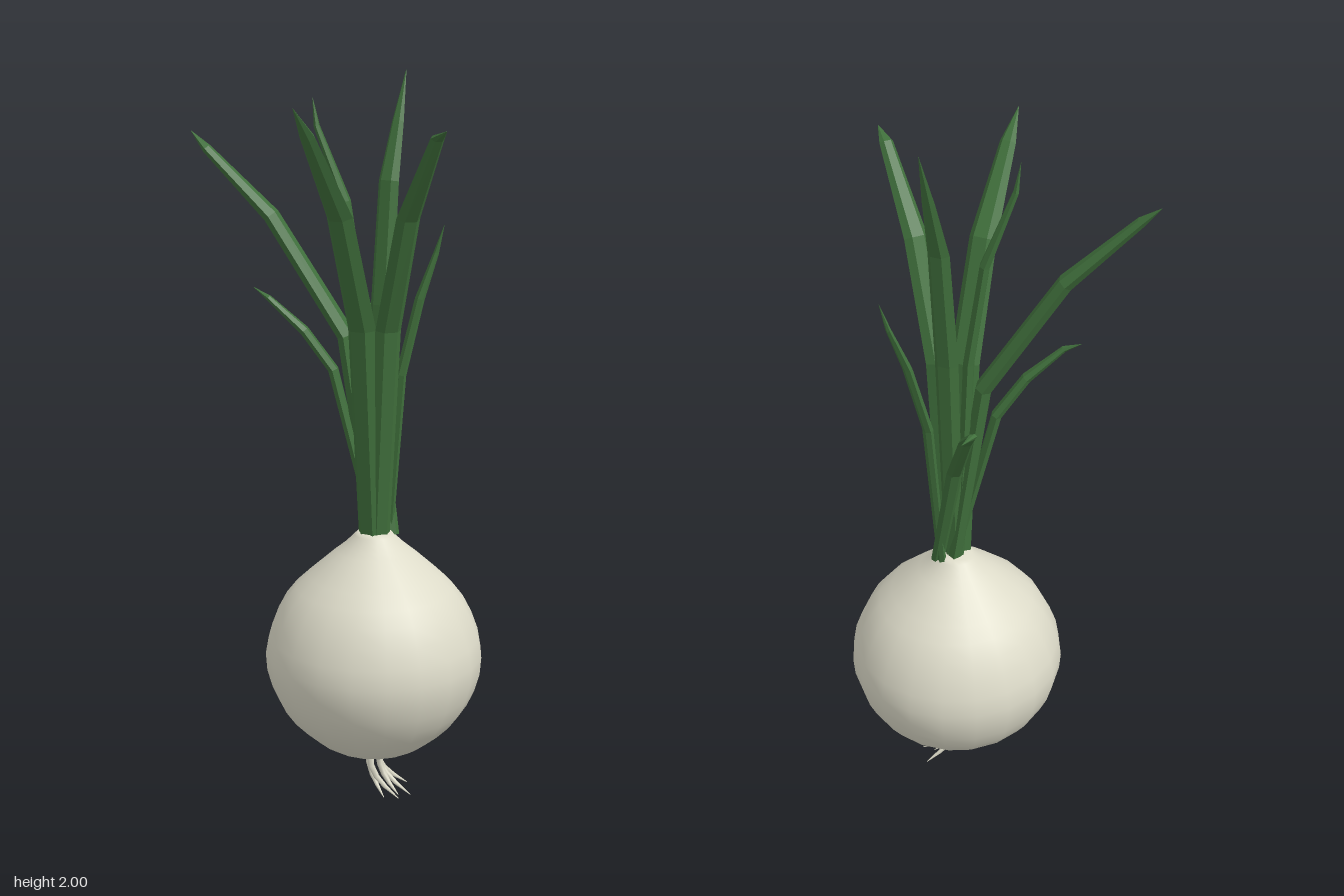
import * as THREE from 'three';

const SIDES = 6;

// Tapering blade: a flattened hexagon swept along points [x, y, z, halfWidth, halfThickness].
function sweep(points, bottomUp = true) {
  const rows = bottomUp ? points : [...points].reverse();
  const centres = rows.map(p => new THREE.Vector3(p[0], p[1], p[2]));
  const heading = centres[centres.length - 1].clone().sub(centres[0]).setY(0).normalize();
  const side = new THREE.Vector3(heading.z, 0, -heading.x);
  const pos = [];
  const index = [];
  rows.forEach((p, r) => {
    const before = centres[Math.max(r - 1, 0)];
    const after = centres[Math.min(r + 1, rows.length - 1)];
    const tangent = after.clone().sub(before).normalize();
    const s = side.clone().addScaledVector(tangent, -side.dot(tangent)).normalize();
    const n = tangent.clone().cross(s);
    for (let i = 0; i < SIDES; i++) {
      const a = (i / SIDES) * Math.PI * 2;
      const v = centres[r].clone()
        .addScaledVector(s, Math.cos(a) * p[3])
        .addScaledVector(n, Math.sin(a) * p[4]);
      pos.push(v.x, v.y, v.z);
    }
  });
  for (let r = 0; r < rows.length - 1; r++) {
    for (let i = 0; i < SIDES; i++) {
      const j = (i + 1) % SIDES;
      const a = r * SIDES + i, b = r * SIDES + j;
      index.push(a, b, b + SIDES, a, b + SIDES, a + SIDES);
    }
  }
  // end caps
  const last = (rows.length - 1) * SIDES;
  for (let i = 1; i < SIDES - 1; i++) {
    index.push(0, i + 1, i, last, last + i, last + i + 1);
  }
  const geo = new THREE.BufferGeometry();
  geo.setAttribute('position', new THREE.Float32BufferAttribute(pos, 3));
  geo.setIndex(index);
  geo.computeVertexNormals();
  return geo;
}

export function createModel() {
  const model = new THREE.Group();
  const CX = 0.077, CZ = -0.052;
  const skin = new THREE.MeshStandardMaterial({ color: 0xdddbc9 });
  const green = new THREE.MeshStandardMaterial({ color: 0x40703c, flatShading: true });

  // bulb: round body drawn up into a short neck
  const profile = new THREE.SplineCurve([
    [0.001, 0.14], [0.085, 0.153], [0.165, 0.19], [0.262, 0.295], [0.3, 0.44],
    [0.247, 0.59], [0.15, 0.69], [0.085, 0.745], [0.045, 0.785],
  ].map(([r, y]) => new THREE.Vector2(r, y))).getPoints(24);
  profile.push(new THREE.Vector2(0, 0.79));
  const bulb = new THREE.Mesh(new THREE.LatheGeometry(profile, 20), skin);
  bulb.name = 'bulb';
  bulb.position.set(CX, 0, CZ);
  model.add(bulb);

  // leaves: full half width, then path points from neck to tip
  const leaves = [
    ['frontLeaf', 0.042, [[0.077, 0.77, -0.03], [0.077, 1.35, 0.02], [0.077, 1.65, 0.135], [0.077, 1.85, 0.285], [0.077, 1.92, 0.35]]],
    ['leftLeaf', 0.036, [[0.098, 0.77, -0.04], [0.14, 1.35, -0.005], [0.235, 1.65, 0.07], [0.355, 1.85, 0.155], [0.403, 1.87, 0.203]]],
    ['rightLeaf', 0.036, [[0.075, 0.77, -0.06], [0.0, 1.32, -0.03], [-0.19, 1.63, 0.033], [-0.355, 1.8, 0.085], [-0.405, 1.845, 0.085]]],
    ['innerLeaf', 0.024, [[0.065, 0.77, -0.05], [0.03, 1.4, -0.055], [-0.008, 1.67, -0.04], [-0.073, 1.86, -0.005], [-0.083, 1.935, 0.0]]],
    ['backLeaf', 0.033, [[0.077, 0.77, -0.06], [0.077, 1.4, -0.085], [0.077, 1.72, -0.118], [0.077, 1.87, -0.165], [0.077, 2.0, -0.208]]],
    ['shortRightLeaf', 0.022, [[0.08, 0.77, -0.055], [-0.025, 1.23, -0.005], [-0.09, 1.335, 0.035], [-0.175, 1.42, 0.074], [-0.222, 1.445, 0.075]]],
    ['shortBackLeaf', 0.022, [[0.115, 0.77, -0.085], [0.035, 1.11, -0.135], [-0.035, 1.27, -0.21], [-0.088, 1.345, -0.285], [-0.09, 1.36, -0.35]]],
    ['shortLeftLeaf', 0.02, [[0.1, 0.77, -0.09], [0.12, 1.21, -0.115], [0.15, 1.41, -0.16], [0.178, 1.53, -0.197], [0.195, 1.605, -0.21]]],
  ];
  const taper = [0.85, 1, 0.9, 0.52, 0.02];
  for (const [name, width, path] of leaves) {
    const points = path.map((p, i) => [...p, width * taper[i], width * taper[i] * 0.65]);
    const leaf = new THREE.Mesh(sweep(points), green);
    leaf.name = name;
    model.add(leaf);
  }

  // roots: thin strands curling sideways; start x, z and tip x, y, z
  const roots = new THREE.Group();
  roots.name = 'roots';
  const strands = [
    [0.062, -0.05, 0.125, 0.02, -0.03],
    [0.075, -0.035, 0.155, 0.012, -0.06],
    [0.088, -0.06, 0.185, 0.025, -0.075],
    [0.08, -0.07, 0.145, 0.03, -0.13],
    [0.1, -0.045, 0.165, 0.035, -0.04],
  ];
  for (const [x, z, tx, ty, tz] of strands) {
    const points = [[0, 0.16], [0.06, 0.1], [0.25, 0.065], [0.55, 0.035], [1, 0]].map(([t, h], i) => {
      const r = [0.009, 0.009, 0.008, 0.006, 0.001][i];
      return [x + (tx - x) * t, ty + h * (0.16 - ty) / 0.16, z + (tz - z) * t, r, r];
    });
    const root = new THREE.Mesh(sweep(points, false), skin);
    root.name = 'root';
    roots.add(root);
  }
  model.add(roots);

  // rest the lowest root tip on the ground
  const low = new THREE.Box3().setFromObject(model).min.y;
  roots.position.y -= low;
  return model;
}
